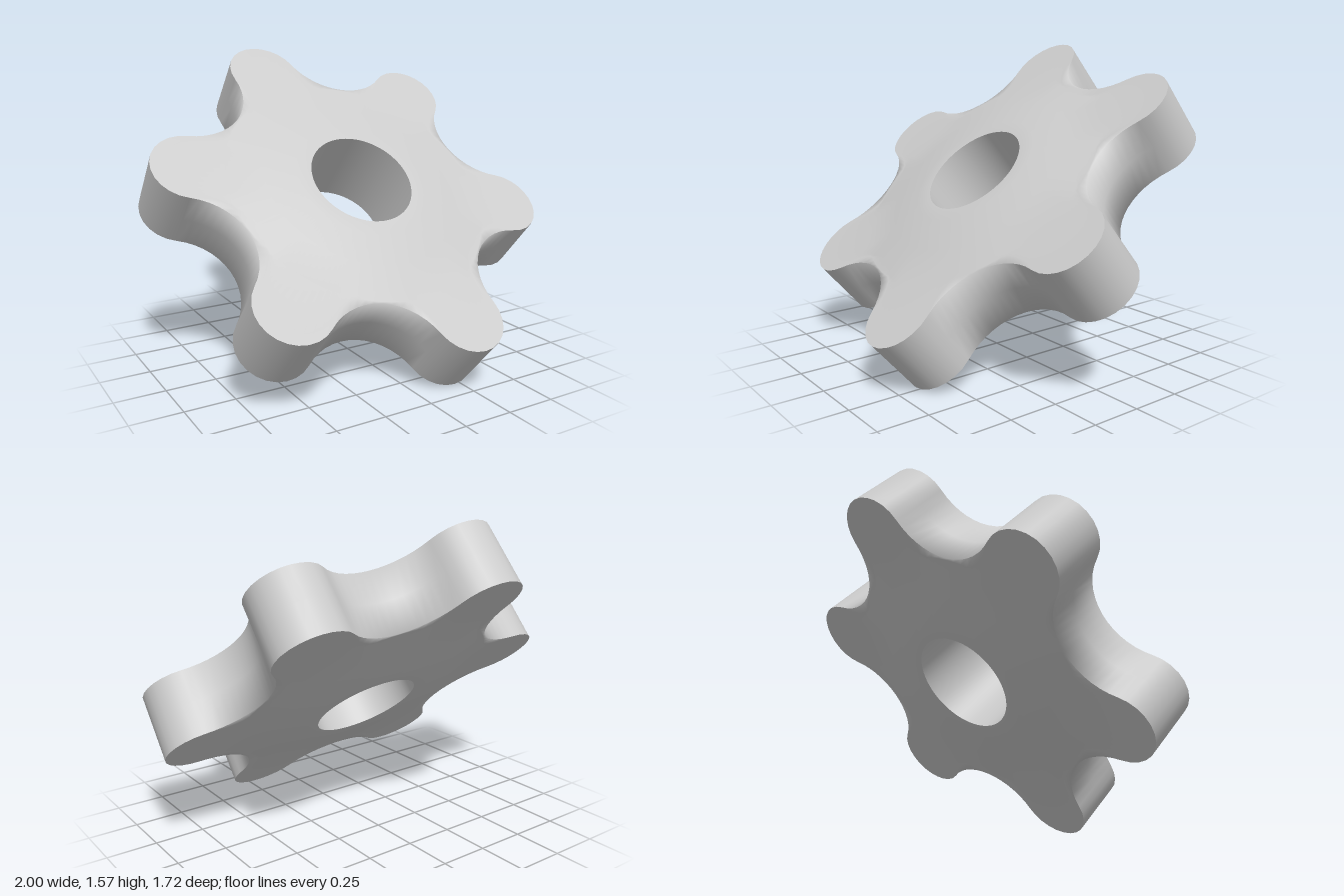
import * as THREE from 'three';

const TEETH = 6;
const HOLE = 0.265, HUB = 0.34, CONE_END = 0.68;
const HUB_HALF = 0.22, TOOTH_HALF = 0.166;
const CAP_C = 0.84, CAP_R = 0.19;        // rounded tooth tips
const VALLEY_C = 1.0;                    // scooped valleys, tangent to the tips

// Half thickness: flat hub, then a cone down to the flat teeth
const halfAt = (r) => THREE.MathUtils.mapLinear(
  THREE.MathUtils.clamp(r, HUB, CONE_END), HUB, CONE_END, HUB_HALF, TOOTH_HALF);

// Outline of tangent arcs; soft tells how rounded the rim shading is
function outline() {
  const step = (Math.PI * 2) / TEETH;
  const vx = VALLEY_C * Math.cos(step / 2), vy = VALLEY_C * Math.sin(step / 2);
  const beta = Math.atan2(vy, vx - CAP_C);
  const valleyR = Math.hypot(vx - CAP_C, vy) - CAP_R;
  const pts = [];
  for (let k = 0; k < TEETH; k++) {
    const turn = THREE.MathUtils.degToRad(45) + k * step;
    const add = (x, y, soft) => pts.push({
      r: Math.hypot(x, y), a: Math.atan2(y, x) + turn, soft });
    for (let i = 0; i < 12; i++) {
      const t = -beta + (2 * beta * i) / 12;
      add(CAP_C + CAP_R * Math.cos(t), CAP_R * Math.sin(t), 0);
    }
    const a0 = beta + Math.PI, a1 = step - a0 + Math.PI * 2;
    for (let i = 0; i < 14; i++) {
      const t = a0 + ((a1 - a0) * i) / 14;
      add(vx + valleyR * Math.cos(t), vy + valleyR * Math.sin(t),
        Math.sin((Math.PI * i) / 14));
    }
  }
  return pts;
}

// Closed strip surface: rings[i](point) gives [radius, height]
function strip(pts, rings) {
  const n = pts.length, pos = [], index = [];
  for (const ring of rings) {
    for (const p of pts) {
      const [r, z] = ring(p);
      pos.push(r * Math.cos(p.a), r * Math.sin(p.a), z);
    }
  }
  for (let i = 0; i < rings.length - 1; i++) {
    for (let j = 0; j < n; j++) {
      const a = i * n + j, b = i * n + ((j + 1) % n), c = a + n, d = b + n;
      index.push(a, c, b, b, c, d);
    }
  }
  const g = new THREE.BufferGeometry();
  g.setAttribute('position', new THREE.Float32BufferAttribute(pos, 3));
  g.setIndex(index);
  g.computeVertexNormals();
  return g;
}

// Blend the normals of two touching rings where the rim is soft
function softenRim(pts, ga, ringA, gb, ringB) {
  const na = ga.attributes.normal, nb = gb.attributes.normal, n = pts.length;
  const a = new THREE.Vector3(), b = new THREE.Vector3(), mid = new THREE.Vector3();
  pts.forEach((p, j) => {
    a.fromBufferAttribute(na, ringA * n + j);
    b.fromBufferAttribute(nb, ringB * n + j);
    mid.addVectors(a, b).normalize();
    a.lerp(mid, p.soft).normalize();
    b.lerp(mid, p.soft).normalize();
    na.setXYZ(ringA * n + j, a.x, a.y, a.z);
    nb.setXYZ(ringB * n + j, b.x, b.y, b.z);
  });
}

export function createModel() {
  const group = new THREE.Group();
  group.name = 'gearWheel';
  const material = new THREE.MeshStandardMaterial({ color: 0xcccccc });
  const pts = outline();

  // Radii along each ray, from hole to rim
  const radii = [
    () => HOLE, () => HUB, () => 0.5,
    (p) => Math.min(CONE_END, p.r - 0.06),
    (p) => Math.max(CONE_END, p.r - 0.06),
    (p) => p.r,
  ].map((f, i) => (i === 4 ? (p) => Math.min(f(p), p.r - 0.005) : f));
  const last = radii.length - 1;

  const front = strip(pts, radii.map((f) => (p) => [f(p), halfAt(f(p))]));
  const back = strip(pts, radii.map((f) => (p) => [f(p), -halfAt(f(p))]).reverse());
  const wall = strip(pts, [1, 0, -1].map((s) => (p) => [p.r, s * halfAt(p.r)]));
  const bore = strip(pts, [-1, 1].map((s) => () => [HOLE, s * HUB_HALF]));
  softenRim(pts, front, last, wall, 0);
  softenRim(pts, back, 0, wall, 2);

  const parts = { frontFace: front, backFace: back, toothedRim: wall, centreHole: bore };
  for (const [name, geometry] of Object.entries(parts)) {
    const mesh = new THREE.Mesh(geometry, material);
    mesh.name = name;
    group.add(mesh);
  }

  // Leaning back on its lowest teeth
  group.rotation.x = -THREE.MathUtils.degToRad(48.7);
  group.position.y = 0.786;
  return group;
}
